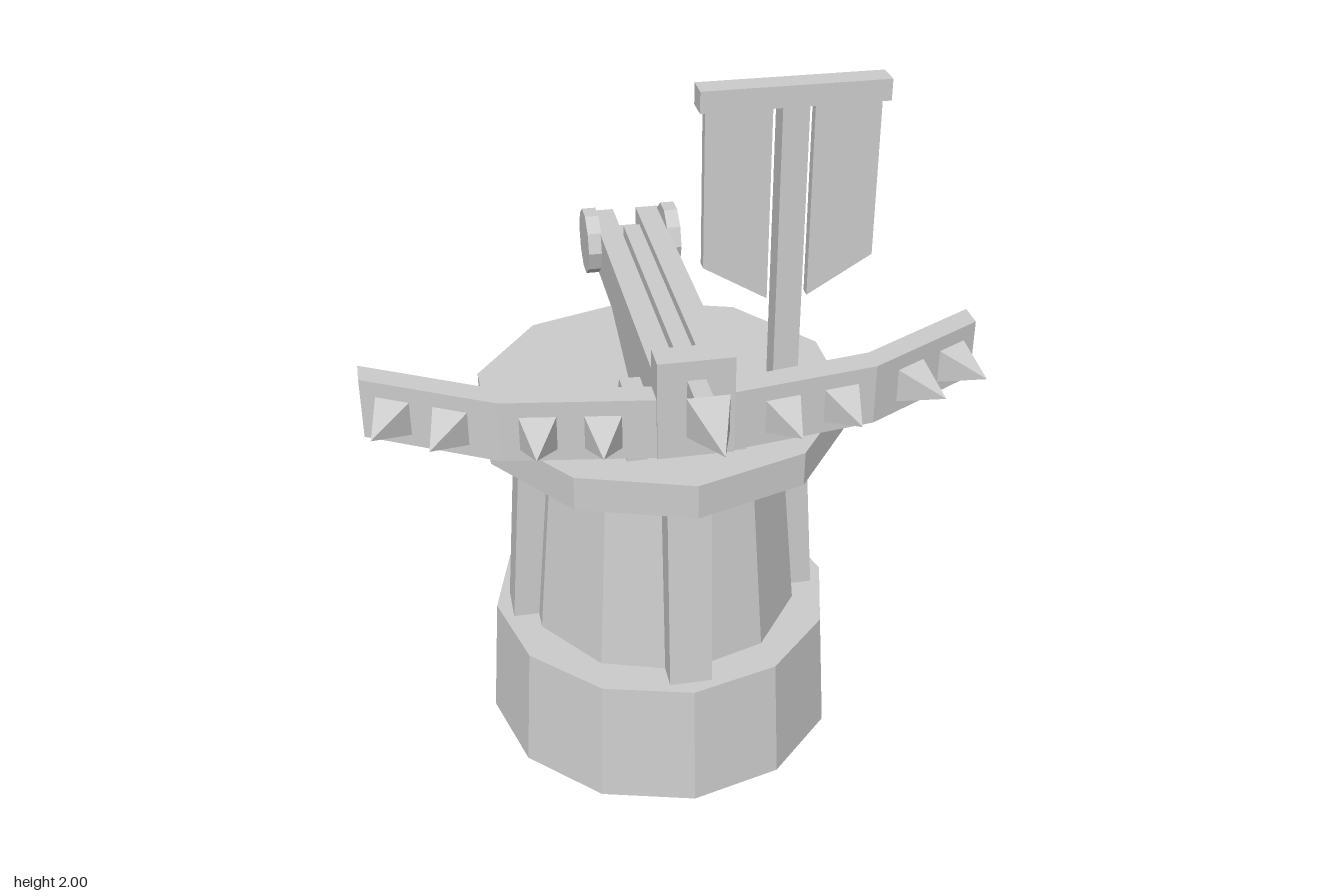
import * as THREE from 'three';

const material = new THREE.MeshStandardMaterial({ color: 0xcccccc, flatShading: true });
const TOWER_Z = -0.12;

function add(parent, name, geometry, x = 0, y = 0, z = 0) {
  const mesh = new THREE.Mesh(geometry, material);
  mesh.name = name;
  mesh.position.set(x, y, z);
  parent.add(mesh);
  return mesh;
}

// Box given by its min and max on each axis
function box(parent, name, [x0, x1], [y0, y1], [z0, z1]) {
  return add(parent, name, new THREE.BoxGeometry(x1 - x0, y1 - y0, z1 - z0),
    (x0 + x1) / 2, (y0 + y1) / 2, (z0 + z1) / 2);
}

// Tapered drum standing on height y0
function drum(parent, name, rTop, rBottom, y0, y1, sides) {
  return add(parent, name, new THREE.CylinderGeometry(rTop, rBottom, y1 - y0, sides),
    0, (y0 + y1) / 2, 0);
}

function extrude(points, depth) {
  const shape = new THREE.Shape(points.map(([a, b]) => new THREE.Vector2(a, b)));
  return new THREE.ExtrudeGeometry(shape, { depth, bevelEnabled: false }).translate(0, 0, -depth / 2);
}

// Side profile of (z, y) points, extruded across x
const sideProfile = (points, width) => extrude(points, width).rotateY(-Math.PI / 2);

// Four-sided pyramid pointing along +z, with its base at z = 0
const pyramid = (width, length) => new THREE.ConeGeometry(width / Math.SQRT2, length, 4)
  .rotateY(Math.PI / 4).rotateX(Math.PI / 2).translate(0, 0, length / 2);

function createTower() {
  const tower = new THREE.Group();
  tower.name = 'tower';
  tower.position.z = TOWER_Z;
  drum(tower, 'base', 0.5, 0.525, 0, 0.38, 12);
  drum(tower, 'shaft', 0.345, 0.4, 0.38, 0.99, 10);
  drum(tower, 'platform', 0.525, 0.525, 0.99, 1.09, 10);
  // Four leaning buttresses around the shaft
  const profile = [[0.3, 0.38], [0.455, 0.38], [0.412, 0.99], [0.3, 0.99]];
  for (let i = 0; i < 4; i++) {
    add(tower, 'buttress', sideProfile(profile, 0.12)).rotation.y = i * Math.PI / 2;
  }
  return tower;
}

function createBow() {
  const bow = new THREE.Group();
  bow.name = 'bow';
  const front = [[0.1, 0.36], [0.49, 0.3], [0.825, 0.115]];
  const back = [[0.825, 0.04], [0.49, 0.225], [0.1, 0.29]];
  const half = [...front, ...back];
  const outline = [...half, ...half.map(([x, z]) => [-x, z]).reverse()];
  add(bow, 'bowLimbs', extrude(outline.map(([x, z]) => [x, -z]), 0.17).rotateX(-Math.PI / 2), 0, 1.245, 0);
  // Spikes stand square to the front faces of the limbs
  for (const side of [-1, 1]) {
    for (const [x, segment] of [[0.232, 0], [0.394, 0], [0.605, 1], [0.745, 1]]) {
      const [a, b] = [front[segment], front[segment + 1]];
      const slope = (b[1] - a[1]) / (b[0] - a[0]);
      const z = a[1] + (x - a[0]) * slope;
      const spike = add(bow, 'spike', pyramid(0.096, 0.13), side * x, 1.24, z - 0.002);
      spike.rotation.y = side * Math.atan(-slope);
    }
  }
  return bow;
}

function createBallista() {
  const ballista = new THREE.Group();
  ballista.name = 'ballista';
  // Stock with a channel between two rails
  const stock = [[-0.695, 1.235], [-0.335, 1.235], [-0.07, 1.16], [0.29, 1.16], [0.29, 1.325], [-0.695, 1.325]];
  add(ballista, 'stock', sideProfile(stock, 0.2));
  box(ballista, 'muzzleBlock', [-0.1, 0.1], [1.16, 1.435], [0.287, 0.367]);
  for (const side of [-1, 1]) {
    add(ballista, 'rail', new THREE.BoxGeometry(0.065, 0.06, 0.985), side * 0.0675, 1.35, -0.2025);
    const wheel = new THREE.CylinderGeometry(0.096, 0.096, 0.04, 10).rotateZ(Math.PI / 2);
    add(ballista, 'winchWheel', wheel, side * 0.118, 1.328, -0.598);
    const support = [[0.08, 1.09], [0.255, 1.09], [0.255, 1.28], [0.15, 1.28], [0.08, 1.15]];
    add(ballista, 'support', sideProfile(support, 0.055), side * 0.1325, 0, 0);
  }
  // Loaded bolt
  box(ballista, 'boltShaft', [-0.024, 0.024], [1.333, 1.381], [-0.57, 0.51]);
  add(ballista, 'boltHead', pyramid(0.108, 0.188), 0, 1.358, 0.503);
  ballista.add(createBow());
  return ballista;
}

function createBanner() {
  const banner = new THREE.Group();
  banner.name = 'banner';
  banner.position.x = 0.32;
  box(banner, 'pole', [-0.035, 0.035], [1.09, 1.96], [-0.035, 0.035]);
  box(banner, 'crossbar', [-0.247, 0.247], [1.943, 2], [-0.035, 0.035]);
  // Two cloth halves, each cut on a slant
  for (const side of [-1, 1]) {
    const cloth = [[0.055, 1.95], [0.055, 1.405], [0.23, 1.51], [0.23, 1.95]];
    add(banner, 'cloth', extrude(cloth.map(([x, y]) => [side * x, y]), 0.03));
  }
  return banner;
}

export function createModel() {
  const model = new THREE.Group();
  model.name = 'ballistaTower';
  model.add(createTower(), createBallista(), createBanner());
  return model;
}
